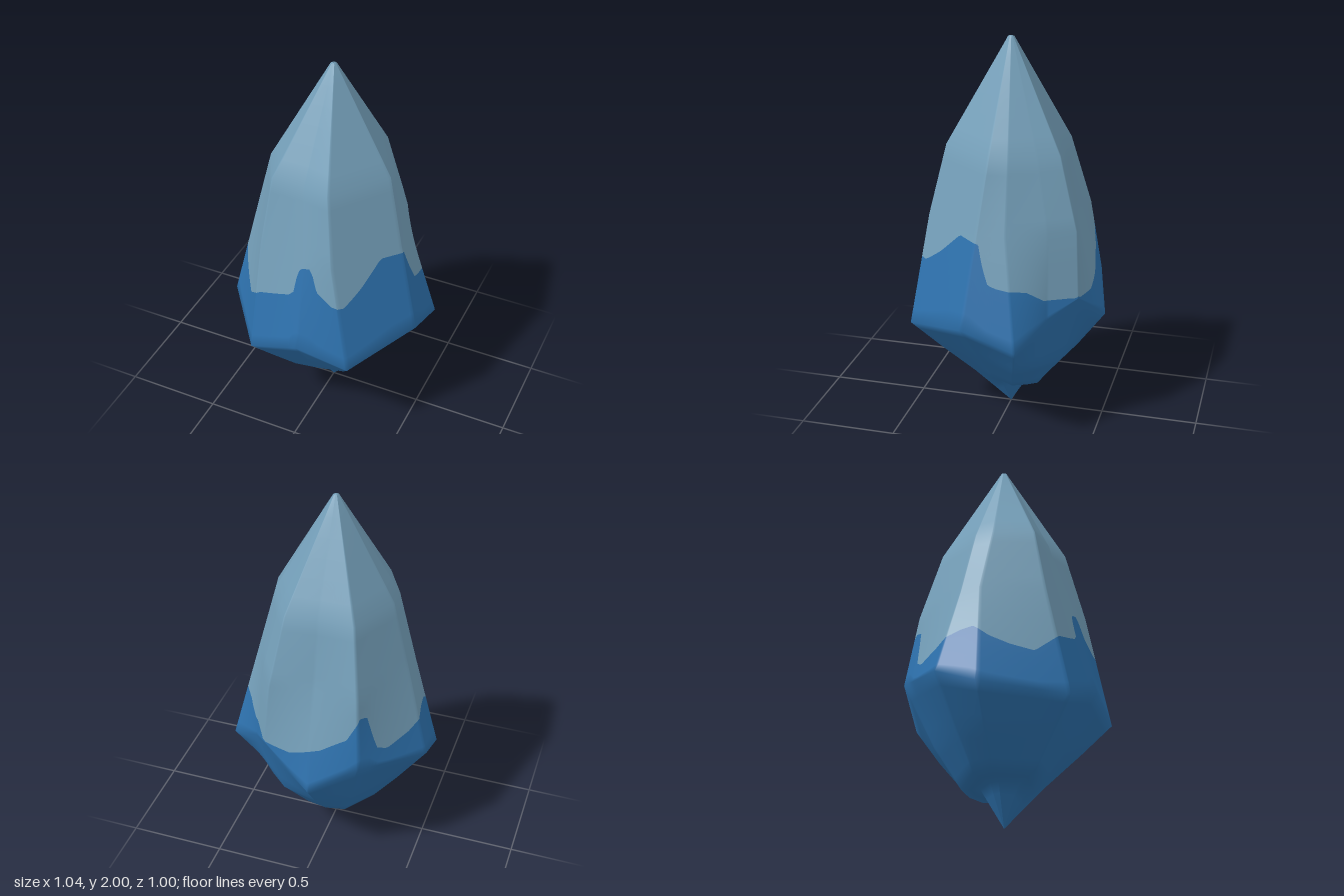
import * as THREE from 'three';

const paleTip = new THREE.MeshStandardMaterial({ color: 0x749fb9 });
paleTip.name = 'paleTip';
const deepBase = new THREE.MeshStandardMaterial({ color: 0x2d71ad });
deepBase.name = 'deepBase';

// Eleven ridge columns, going round from +x towards +z.
// Widest belt, as [x, y, z]
const BELT = [
  [0.515, 0.64, 0.12], [0.285, 0.54, 0.46], [0.02, 0.62, 0.495], [-0.25, 0.515, 0.475],
  [-0.522, 0.55, 0.125], [-0.522, 0.64, -0.1], [-0.26, 0.725, -0.43], [-0.01, 0.57, -0.5],
  [0.25, 0.76, -0.41], [0.345, 0.67, -0.275], [0.522, 0.55, -0.15],
];
// Body section at y = 1.1, as [x, z]
const BODY = [
  [0.4, 0.07], [0.165, 0.385], [0.01, 0.37], [-0.235, 0.35], [-0.4, 0.07], [-0.395, -0.04],
  [-0.23, -0.37], [0, -0.35], [0.22, -0.39], [0.3, -0.26], [0.39, -0.07],
];
// Shoulder section at y = 1.46, as [x, z]
const SHOULDER = [
  [0.315, 0.03], [0.11, 0.305], [-0.03, 0.275], [-0.2, 0.275], [-0.3, 0.09], [-0.3, -0.01],
  [-0.18, -0.27], [0, -0.275], [0.165, -0.29], [0.225, -0.19], [0.295, -0.06],
];
// Underside, as [radius, height] pairs: swelling, rim, root of the lower spike
const UNDERSIDE = [
  [0.355, 0.42, 0.205, 0.235, 0.1, 0.15], [0.38, 0.38, 0.2, 0.21, 0.1, 0.105],
  [0.345, 0.4, 0.2, 0.215, 0.105, 0.145], [0.41, 0.38, 0.26, 0.225, 0.12, 0.19],
  [0.395, 0.38, 0.24, 0.225, 0.11, 0.2], [0.37, 0.4, 0.24, 0.22, 0.11, 0.2],
  [0.345, 0.4, 0.21, 0.19, 0.115, 0.19], [0.36, 0.38, 0.19, 0.18, 0.115, 0.19],
  [0.36, 0.38, 0.2, 0.18, 0.115, 0.19], [0.36, 0.38, 0.2, 0.19, 0.11, 0.2],
  [0.405, 0.38, 0.23, 0.21, 0.11, 0.2],
];
// Uneven colour line, as [angle in degrees, height]
const LINE = [
  [0, 0.87], [4, 0.95], [9, 1.06], [27, 1.07], [45, 0.95], [58, 0.88], [66, 0.89], [76, 0.95],
  [79, 1.03], [82, 1.06], [89, 1.05], [92, 1.02], [93, 0.92], [97, 0.89], [118, 0.84],
  [135, 0.74], [150, 0.77], [162, 0.81], [172, 0.87], [180, 0.86], [198, 0.8], [217, 0.77],
  [225, 0.8], [231, 0.99], [237, 1.0], [245, 0.88], [262, 0.8], [283, 0.75], [306, 0.765],
  [323, 0.77], [336, 0.83], [355, 0.855], [360, 0.87],
];

function lineHeight(angle) {
  const i = Math.max(1, LINE.findIndex((p) => p[0] >= angle));
  const [a0, y0] = LINE[i - 1];
  const [a1, y1] = LINE[i];
  return y0 + ((y1 - y0) * (angle - a0)) / (a1 - a0);
}

// Points of one ridge from the top to the bottom tip
function ridge(i) {
  const [bx, by, bz] = BELT[i];
  const u = UNDERSIDE[i];
  const len = Math.hypot(bx, bz);
  const at = (r, y) => new THREE.Vector3((bx / len) * r, y, (bz / len) * r);
  return [
    at(0.001, 2), at(0.016, 1.995),
    new THREE.Vector3(SHOULDER[i][0], 1.46, SHOULDER[i][1]),
    new THREE.Vector3(BODY[i][0], 1.1, BODY[i][1]),
    new THREE.Vector3(bx, by, bz),
    at(u[0], u[1]), at(u[2], u[3]), at(u[4], u[5]), at(0.001, 0),
  ];
}

// One full column of the surface: ridge points plus the point on the colour line
function column(i, t) {
  const a = ridge(i);
  const b = ridge((i + 1) % BELT.length);
  const p = a.map((v, k) => v.clone().lerp(b[k], t));
  const mid = p[3].clone().lerp(p[4], 0.5);
  const angle = (THREE.MathUtils.radToDeg(Math.atan2(mid.z, mid.x)) + 360) % 360;
  const y = Math.max(lineHeight(angle), p[4].y + 0.01);
  const cut = p[3].clone().lerp(p[4], (1.1 - y) / (1.1 - p[4].y));
  p.splice(4, 0, cut);
  return p;
}

export function createModel() {
  const STEPS = 24;
  const SPLITS = [1, 6, 5, 2, 5, 4, 4, 2, 4]; // rows in each span, top to bottom
  const cols = BELT.length * STEPS;
  const position = [];
  const index = [];

  // Vertices, column by column
  for (let c = 0; c < cols; c++) {
    const p = column(Math.floor(c / STEPS), (c % STEPS) / STEPS);
    position.push(...p[0].toArray());
    SPLITS.forEach((n, s) => {
      for (let k = 1; k <= n; k++) position.push(...p[s].clone().lerp(p[s + 1], k / n).toArray());
    });
  }

  // Faces, row by row, so each colour is one run
  const rows = SPLITS.reduce((a, b) => a + b, 0);
  const id = (c, r) => (c % cols) * (rows + 1) + r;
  for (let r = 0; r < rows; r++) {
    for (let c = 0; c < cols; c++) {
      const a = id(c, r), b = id(c + 1, r), d = id(c + 1, r + 1), e = id(c, r + 1);
      index.push(a, b, d, a, d, e);
    }
  }

  const geometry = new THREE.BufferGeometry();
  geometry.setAttribute('position', new THREE.Float32BufferAttribute(position, 3));
  geometry.setIndex(index);
  const tipCount = (SPLITS[0] + SPLITS[1] + SPLITS[2] + SPLITS[3]) * cols * 6;
  geometry.addGroup(0, tipCount, 0);
  geometry.addGroup(tipCount, index.length - tipCount, 1);
  geometry.computeVertexNormals();

  const crystal = new THREE.Mesh(geometry, [paleTip, deepBase]);
  crystal.name = 'crystal';
  const model = new THREE.Group();
  model.name = 'pointedCrystal';
  model.add(crystal);
  return model;
}
